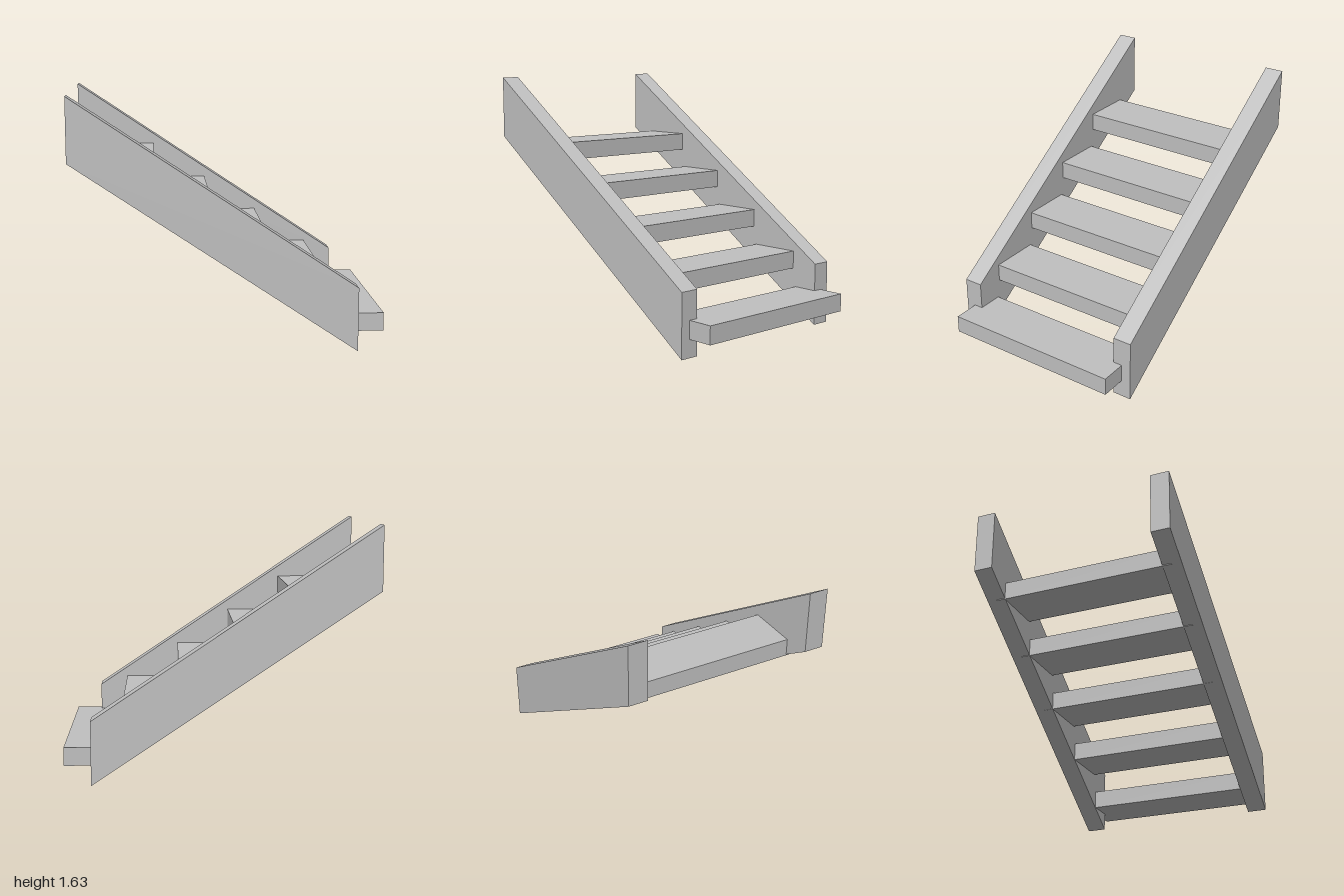
import * as THREE from 'three';

export function createModel() {
  const group = new THREE.Group();
  group.name = 'openStaircase';
  const grey = new THREE.MeshStandardMaterial({ color: 0xc0c0c0 });
  grey.name = 'light grey';

  // Sloping side boards with plumb-cut ends
  const profile = new THREE.Shape([
    new THREE.Vector2(-1, 1.223),
    new THREE.Vector2(0.825, 0),
    new THREE.Vector2(0.825, 0.415),
    new THREE.Vector2(-1, 1.635),
  ]);
  const thickness = 0.126;
  const stringerGeo = new THREE.ExtrudeGeometry(profile, { depth: thickness, bevelEnabled: false });
  stringerGeo.translate(0, 0, -thickness / 2);
  for (const [name, side] of [['frontStringer', 1], ['backStringer', -1]]) {
    const stringer = new THREE.Mesh(stringerGeo, grey);
    stringer.name = name;
    stringer.position.z = side * 0.609;
    group.add(stringer);
  }

  // Evenly spaced treads, let into the side boards
  const treadGeo = new THREE.BoxGeometry(0.343, 0.118, 1.214);
  for (let i = 0; i < 5; i++) {
    const tread = new THREE.Mesh(treadGeo, grey);
    tread.name = `tread${i + 1}`;
    tread.position.set(0.8285 - i * 0.3665, 0.175 + i * 0.2432, 0);
    group.add(tread);
  }
  return group;
}
